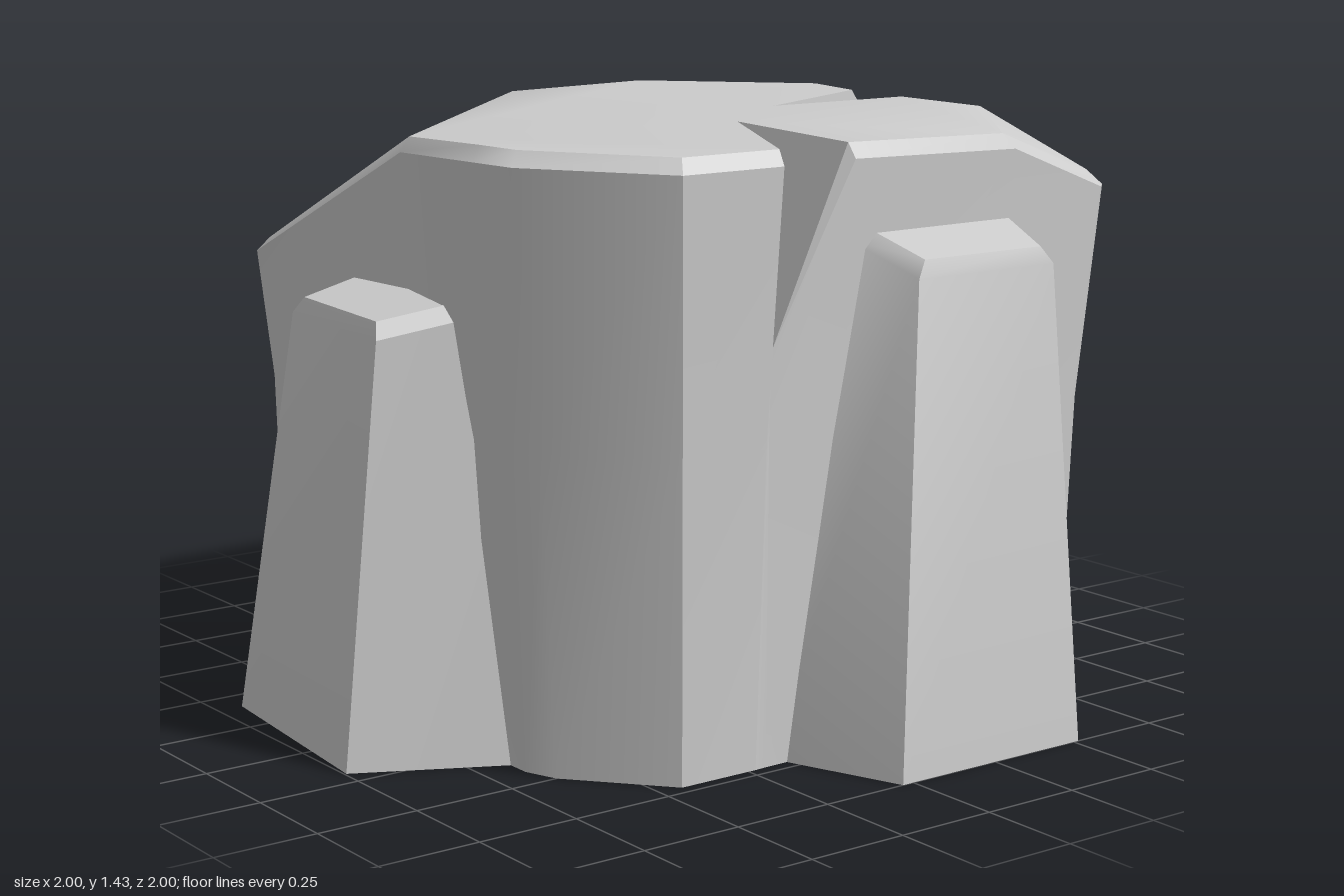
import * as THREE from 'three';
import { toCreasedNormals } from 'three/addons/utils/BufferGeometryUtils.js';

const material = new THREE.MeshStandardMaterial({ color: 0xcccccc, side: THREE.DoubleSide });
const V = (x, y, z) => new THREE.Vector3(x, y, z);

// Collects triangles and quads and turns them into a softly creased mesh
class Surface {
  points = [];
  tri(a, b, c) {
    const area = b.clone().sub(a).cross(c.clone().sub(a)).length();
    if (area > 1e-6) this.points.push(a, b, c);
  }
  quad(a, b, c, d) {
    this.tri(a, b, c);
    this.tri(a, c, d);
  }
  // Joins two closed rings, lower then upper
  band(lower, upper) {
    lower.forEach((p, i) => {
      const j = (i + 1) % lower.length;
      this.quad(p, lower[j], upper[j], upper[i]);
    });
  }
  // Fills an outline seen from above
  cap(outline) {
    const flat = outline.map(p => new THREE.Vector2(p.x, -p.z));
    for (const [a, b, c] of THREE.ShapeUtils.triangulateShape(flat, [])) {
      this.tri(outline[a], outline[b], outline[c]);
    }
  }
  mesh(name) {
    const geometry = new THREE.BufferGeometry().setFromPoints(this.points);
    const mesh = new THREE.Mesh(toCreasedNormals(geometry, 0.6), material);
    mesh.name = name;
    return mesh;
  }
}

// Trunk columns, counter-clockwise from above: top [x, y, z], base [x, z],
// then an optional waist point and shoulder point
const columns = {
  frontLeftA: [[-0.765, 1.09, 0.65], [-0.70, 0.62]],
  frontLeftB: [[-0.73, 1.10, 0.685], [-0.67, 0.655]],
  front: [[-0.03, 1.41, 0.69], [0.0, 0.66]],
  frontRightA: [[0.42, 1.435, 0.785], [0.42, 0.66]],
  frontRightB: [[0.52, 1.43, 0.75], [0.50, 0.63]],
  rightFront: [[0.785, 1.42, 0.49], [0.72, 0.44]],
  rightNotchA: [[0.78, 1.42, 0.21], [0.72, 0.23]],
  rightValley: [[0.74, 0.97, 0.21], [0.718, 0.2]],
  rightNotchB: [[0.76, 1.42, -0.01], [0.715, 0.0]],
  right: [[0.755, 1.41, -0.5], [0.715, -0.5]],
  backRightA: [[0.745, 1.30, -0.79], [0.71, -0.71]],
  backRightB: [[0.715, 1.30, -0.825], [0.68, -0.75]],
  back: [[0.3, 1.42, -0.845], [0.3, -0.76]],
  backNotchA: [[-0.02, 1.42, -0.855], [-0.02, -0.76]],
  backValley: [[-0.2, 1.0, -0.83], [-0.2, -0.76]],
  backNotchB: [[-0.25, 1.42, -0.875], [-0.25, -0.76]],
  backLeftA: [[-0.42, 1.425, -0.885], [-0.42, -0.76], [-0.42, 0.86, -0.84]],
  backLeft: [[-0.605, 1.425, -0.715], [-0.70, -0.77], [-0.74, 0.56, -0.825], [-0.59, 0.86, -0.68]],
  backLeftB: [[-0.79, 1.425, -0.545], [-0.70, -0.5], [-0.76, 0.86, -0.52]],
  left: [[-0.77, 1.42, -0.1], [-0.70, -0.1]],
};

function makeTrunk() {
  const surface = new Surface();
  const base = [], waist = [], shoulder = [], rim = [], top = [];
  const at = {};
  for (const [name, [t, b, w, s]] of Object.entries(columns)) {
    const peak = V(...t);
    const foot = V(b[0], 0, b[1]);
    const middle = w ? V(...w) : foot.clone().lerp(peak, 0.35).setY(0.75);
    const valley = name.endsWith('Valley');
    base.push(foot);
    waist.push(middle);
    shoulder.push(s ? V(...s) : middle);
    rim.push(valley ? peak : V(peak.x, peak.y - 0.035, peak.z));
    at[name] = valley ? peak : V(peak.x * 0.965, peak.y, peak.z * 0.965);
    top.push(at[name]);
  }
  surface.band(base, waist);
  surface.band(waist, shoulder);
  surface.band(shoulder, rim);
  surface.band(rim, top);

  // Flat top with the two split notches cut into its outline
  const rightApex = V(0.23, 1.42, -0.09);
  const backApex = V(-0.02, 1.42, -0.4);
  surface.cap([
    at.front, at.frontRightA, at.frontRightB, at.rightFront, at.rightNotchA, rightApex,
    at.rightNotchB, at.right, at.back, at.backNotchA, backApex, at.backNotchB,
    at.backLeftA, at.backLeftB, at.left,
  ]);
  for (const [apex, side] of [[rightApex, 'right'], [backApex, 'back']]) {
    surface.tri(apex, at[side + 'NotchA'], at[side + 'Valley']);
    surface.tri(apex, at[side + 'Valley'], at[side + 'NotchB']);
  }

  // Sloping cuts at the front left and back right corners
  surface.quad(at.left, at.frontLeftA, at.frontLeftB, at.front);
  surface.quad(at.right, at.backRightA, at.backRightB, at.back);
  return surface.mesh('trunk');
}

// Root buttress: four corners [x, z] at the base and [x, y, z] at the top,
// ordered inner, outer, outer, inner
function makeRoot(name, base, top) {
  const surface = new Surface();
  const foot = base.map(([x, z]) => V(x, 0, z));
  const peak = top.map(p => V(...p));
  const centre = peak.reduce((sum, p) => sum.add(p), V(0, 0, 0)).divideScalar(4);
  const rim = peak.map(p => V(p.x, p.y - 0.035, p.z));
  const crown = peak.map(p => p.clone().lerp(centre, 0.14));
  surface.band(foot, rim);
  surface.band(rim, crown);
  surface.cap(crown);
  return surface.mesh(name);
}

export function createModel() {
  const group = new THREE.Group();
  group.name = 'treeStump';
  group.add(
    makeTrunk(),
    makeRoot('frontRoot',
      [[-0.52, 0.62], [-0.41, 0.935], [0.19, 0.995], [0.38, 0.62]],
      [[-0.31, 1.06, 0.64], [-0.28, 1.02, 0.84], [0.18, 1.02, 0.89], [0.27, 1.07, 0.64]]),
    makeRoot('leftRoot',
      [[0.68, 0.15], [1.0, 0.03], [1.0, -0.515], [0.68, -0.64]],
      [[0.70, 1.23, -0.04], [0.9, 1.16, -0.08], [0.9, 1.16, -0.49], [0.70, 1.23, -0.53]]),
    makeRoot('backRoot',
      [[0.61, -0.72], [0.54, -0.945], [0.0, -1.0], [-0.11, -0.72]],
      [[0.46, 1.15, -0.78], [0.40, 1.05, -0.95], [0.01, 1.05, -0.99], [-0.04, 1.15, -0.78]]),
    makeRoot('rightRoot',
      [[-0.66, -0.53], [-0.96, -0.44], [-1.0, 0.03], [-0.66, 0.15]],
      [[-0.70, 1.27, -0.36], [-0.91, 1.18, -0.33], [-0.935, 1.18, 0.0], [-0.70, 1.27, 0.05]]),
    makeRoot('smallRightRoot',
      [[-0.66, 0.05], [-0.94, 0.08], [-0.955, 0.355], [-0.66, 0.46]],
      [[-0.69, 0.82, 0.07], [-0.88, 0.75, 0.1], [-0.89, 0.75, 0.32], [-0.69, 0.82, 0.37]]),
  );
  return group;
}
